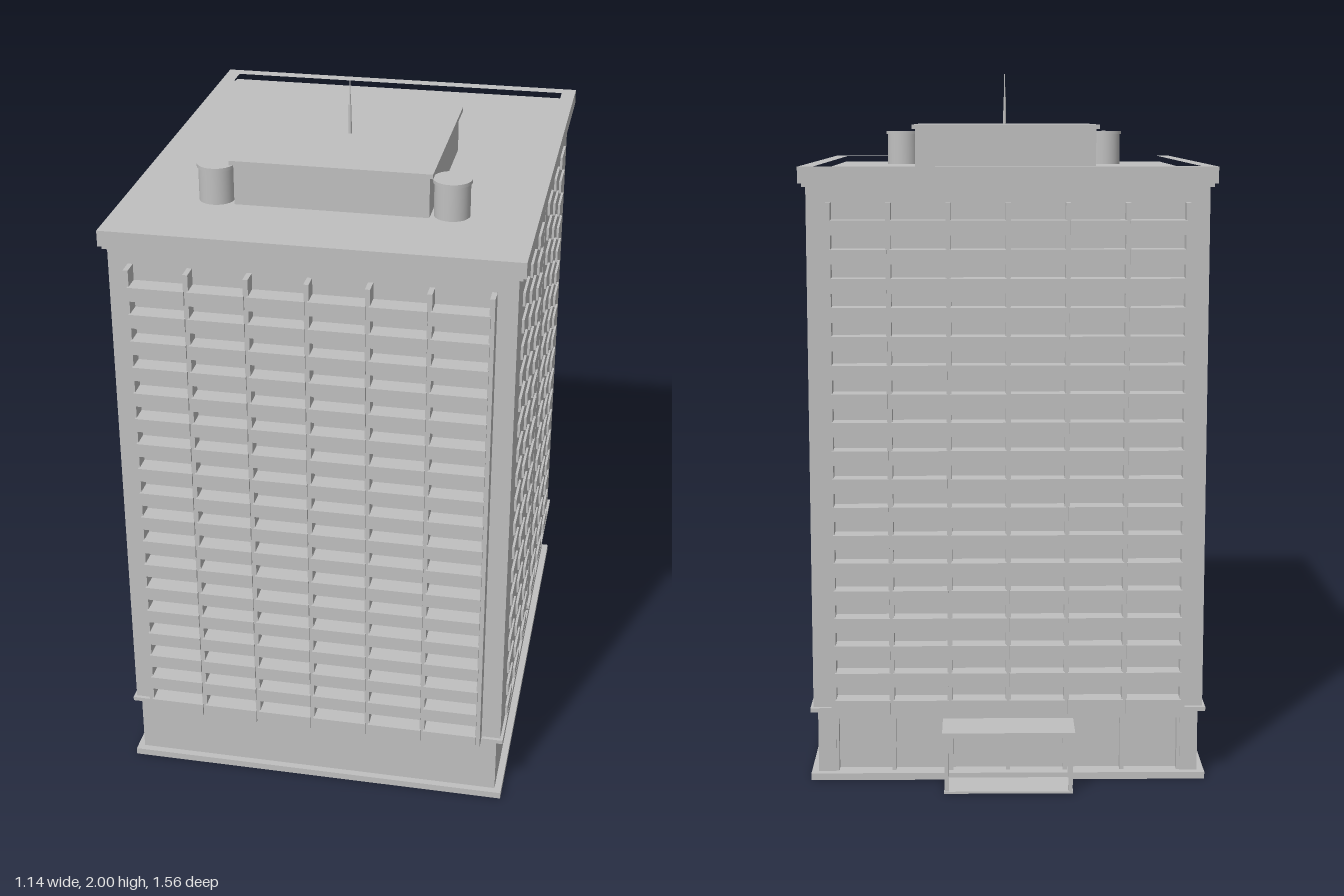
import * as THREE from 'three';

const concrete = new THREE.MeshStandardMaterial({ color: 0xc0c0c0 });
concrete.name = 'concrete grey';

export function createModel() {
  const model = new THREE.Group();
  model.name = 'apartmentTower';
  const tower = new THREE.Group();
  tower.name = 'tower';
  tower.position.z = 0.037; // the entrance canopy sticks out at the back
  model.add(tower);

  const add = (name, geometry, x = 0, y = 0, z = 0) => {
    const mesh = new THREE.Mesh(geometry, concrete);
    mesh.name = name;
    mesh.position.set(x, y, z);
    tower.add(mesh);
    return mesh;
  };
  // box given by width, depth, bottom and top
  const box = (name, w, d, y0, y1, x = 0, z = 0) =>
    add(name, new THREE.BoxGeometry(w, y1 - y0, d), x, (y0 + y1) / 2, z);
  // plan outline [x, z] raised from y0 to y1, with optional hole
  const slab = (name, pts, y0, y1, hole) => {
    const toV = ([x, z]) => new THREE.Vector2(x, -z);
    const shape = new THREE.Shape(pts.map(toV));
    if (hole) shape.holes.push(new THREE.Path(hole.map(toV)));
    const g = new THREE.ExtrudeGeometry(shape, { depth: y1 - y0, bevelEnabled: false });
    g.rotateX(-Math.PI / 2);
    return add(name, g, 0, y0, 0);
  };
  const rect = (x, z) => [[-x, -z], [x, -z], [x, z], [-x, z]];
  // rectangle with a narrow groove in the middle of both long sides
  const grooved = (x, z, g = 0.0125, d = 0.53) => [
    [-x, -z], [x, -z], [x, -g], [d, -g], [d, g], [x, g],
    [x, z], [-x, z], [-x, g], [-d, g], [-d, -g], [-x, -g],
  ];

  // Ground floor with a shallow glazed recess at the back
  box('plinth', 1.12, 1.4, 0, 0.02);
  slab('groundFloor', [
    [-0.54, -0.68], [-0.49, -0.68], [-0.49, -0.65], [0.49, -0.65],
    [0.49, -0.68], [0.54, -0.68], [0.54, 0.68], [-0.54, 0.68],
  ], 0.02, 0.205);
  box('lobbyLintel', 0.98, 0.03, 0.175, 0.205, 0, -0.665);
  for (let i = -3; i <= 3; i++) {
    box('lobbyMullion', 0.012, 0.026, 0.02, 0.175, i * 0.1625, -0.663);
  }

  // Shaft
  slab('towerBody', grooved(0.552, 0.688), 0.2, 1.7);
  slab('floorLedge', grooved(0.56, 0.698), 0.2, 0.212);

  // Fins and balconies on the front and back
  const floors = 18, pitch = 0.0791, bandHeight = 0.04, firstBand = 0.207;
  const bay = 0.1633;
  for (const s of [-1, 1]) {
    for (let i = -3; i <= 3; i++) {
      box('facadeFin', 0.014, 0.047, 0.205, 1.638, i * bay, s * 0.7105);
    }
  }
  for (let f = 0; f < floors; f++) {
    const y0 = firstBand + f * pitch, y1 = y0 + bandHeight;
    for (const s of [-1, 1]) {
      for (let i = -2.5; i <= 2.5; i++) {
        box('balcony', bay - 0.008, 0.056, y0, y1, i * bay, s * 0.714);
      }
      // Panels below the side windows, and infill in the central groove
      for (const z of [0.13, 0.33, 0.52]) {
        box('sidePanel', 0.01, 0.11, y0, y1, s * 0.554, z);
        box('sidePanel', 0.01, 0.11, y0, y1, s * 0.554, -z);
      }
      box('groovePanel', 0.02, 0.025, y0, y1, s * 0.541, 0);
    }
  }

  // Cornice, parapet and roof
  box('cornice', 1.125, 1.4, 1.68, 1.7);
  box('roofDeck', 1.08, 1.35, 1.69, 1.715);
  slab('parapet', rect(0.572, 0.708), 1.69, 1.735, rect(0.53, 0.668));

  // Penthouse with flat roof
  box('penthouse', 0.545, 0.545, 1.71, 1.832, 0, 0.135);
  box('penthouseRoof', 0.565, 0.565, 1.832, 1.845, 0, 0.135);
  box('penthousePanel', 0.47, 0.008, 1.715, 1.805, 0, -0.139);

  // Water tanks
  for (const s of [-1, 1]) {
    add('waterTank', new THREE.CylinderGeometry(0.05, 0.05, 0.1, 32), s * 0.33, 1.762, 0.373);
    add('tankLid', new THREE.CylinderGeometry(0.054, 0.054, 0.01, 32), s * 0.33, 1.817, 0.373);
  }

  // Antenna
  add('antennaBase', new THREE.CylinderGeometry(0.004, 0.005, 0.085, 10), 0, 1.887, 0.135);
  add('antennaTip', new THREE.CylinderGeometry(0.0015, 0.0025, 0.08, 8), 0, 1.96, 0.135);

  // Entrance canopy
  box('canopyRoof', 0.37, 0.13, 0.163, 0.177, 0, -0.752);
  box('entranceStep', 0.36, 0.12, 0, 0.006, 0, -0.752);
  for (const s of [-1, 1]) {
    box('canopyPost', 0.012, 0.012, 0, 0.165, s * 0.173, -0.805);
    box('canopyPost', 0.008, 0.008, 0, 0.165, s * 0.173, -0.698);
  }

  return model;
}
